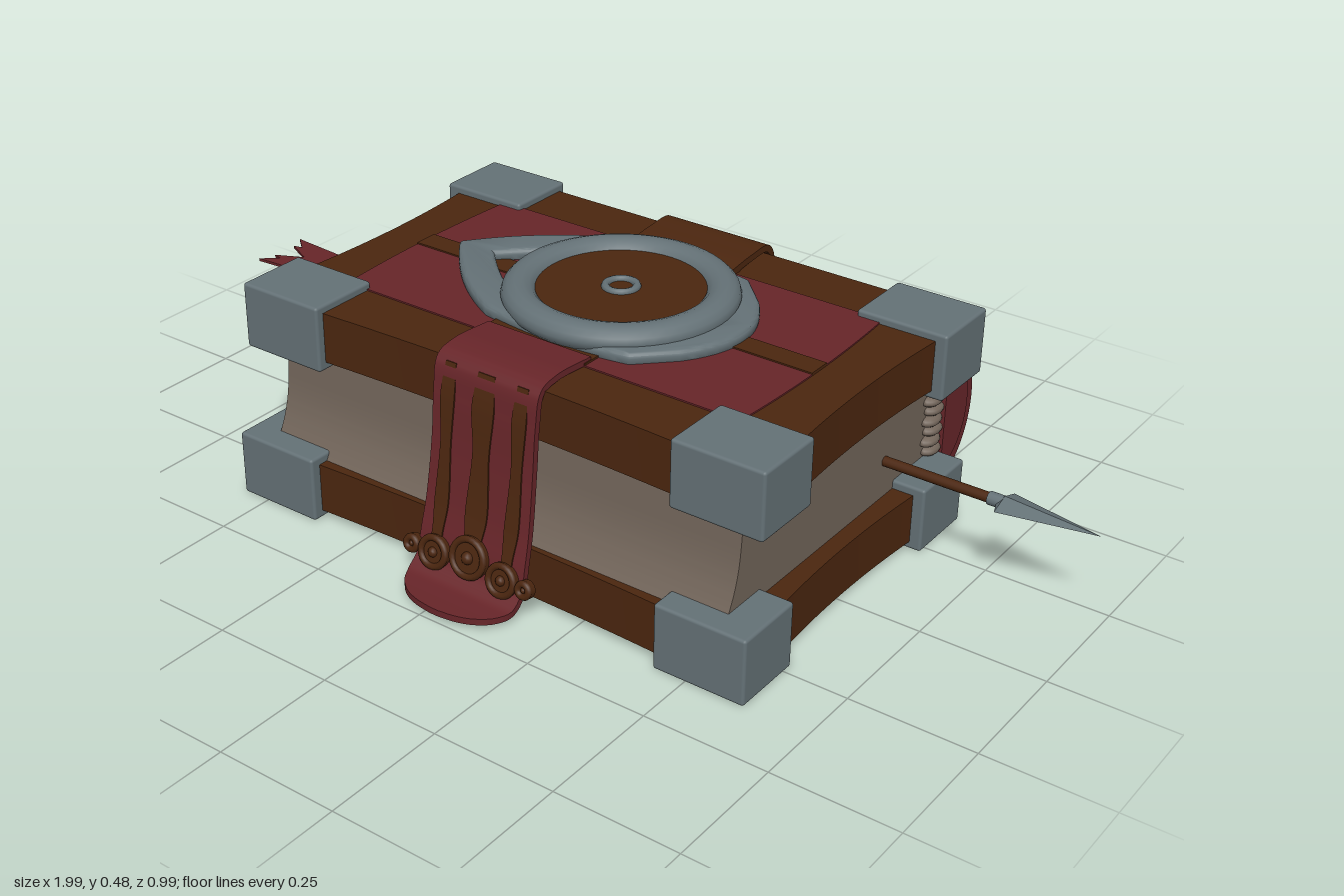
import * as THREE from 'three';
import { toCreasedNormals } from 'three/addons/utils/BufferGeometryUtils.js';
import { RoundedBoxGeometry } from 'three/addons/geometries/RoundedBoxGeometry.js';

const material = (name, color) => {
  const m = new THREE.MeshStandardMaterial({ color });
  m.name = name;
  return m;
};

// Flat outline in x/z, given thickness upward from y
function slab(shape, y, height, bevel = 0) {
  const g = new THREE.ExtrudeGeometry(shape, {
    depth: height - 2 * bevel, curveSegments: 24, bevelEnabled: bevel > 0,
    bevelThickness: bevel, bevelSize: bevel, bevelOffset: -bevel, bevelSegments: 4,
  });
  g.rotateX(-Math.PI / 2);
  g.translate(0, y + bevel, 0);
  return toCreasedNormals(g, 0.6);
}

// Side outline (drawn with x = -z) extruded from x0 to x1
function sideExtrude(shape, x0, x1) {
  const g = new THREE.ExtrudeGeometry(shape, { depth: x1 - x0, bevelEnabled: false, curveSegments: 28 });
  g.rotateY(Math.PI / 2);
  g.translate(x0, 0, 0);
  return toCreasedNormals(g, 0.6);
}

// Thick ribbon following a smooth path; each point is [z, y, halfWidth]
function ribbon(points, thick, lift = 0, steps = 48) {
  const path = new THREE.CatmullRomCurve3(points.map(([z, y, w]) => new THREE.Vector3(w, y, z)), false, 'centripetal').getPoints(steps);
  const pos = [], idx = [];
  path.forEach((p, i) => {
    const a = path[Math.max(i - 1, 0)], b = path[Math.min(i + 1, steps)];
    const len = Math.hypot(b.z - a.z, b.y - a.y) || 1;
    const nz = -(b.y - a.y) / len, ny = (b.z - a.z) / len;
    for (const [s, o] of [[-1, thick / 2], [1, thick / 2], [1, -thick / 2], [-1, -thick / 2]])
      pos.push(s * p.x, p.y + ny * (o + lift), p.z + nz * (o + lift));
    if (i < steps) for (let k = 0; k < 4; k++) {
      const q = i * 4 + k, r = i * 4 + (k + 1) % 4;
      idx.push(q, q + 4, r + 4, q, r + 4, r);
    }
  });
  const e = steps * 4;
  idx.push(0, 1, 2, 0, 2, 3, e, e + 2, e + 1, e, e + 3, e + 2);
  const g = new THREE.BufferGeometry();
  g.setAttribute('position', new THREE.Float32BufferAttribute(pos, 3));
  g.setIndex(idx);
  return toCreasedNormals(g, 0.7);
}

// Cover board with edges curving inward between its corners
function coverShape(back, front, dip) {
  const s = new THREE.Shape();
  s.moveTo(-0.55, -front);
  s.quadraticCurveTo(0.035, -front + 2 * dip, 0.615, -front);
  s.quadraticCurveTo(0.56, -(front + back) / 2, 0.615, -back);
  s.lineTo(-0.55, -back);
  s.quadraticCurveTo(-0.49, -(front + back) / 2, -0.55, -front);
  return s;
}

export function createModel() {
  const leather = material('brown leather', 0x4b260f);
  const cloth = material('dark red cloth', 0x672529);
  const metal = material('grey metal', 0x647176);
  const paper = material('old paper', 0x72655a);
  const book = new THREE.Group();
  book.name = 'book';
  const add = (name, geo, mat, x = 0, y = 0, z = 0, parent = book) => {
    const m = new THREE.Mesh(geo, mat);
    m.name = name;
    m.position.set(x, y, z);
    parent.add(m);
    return m;
  };
  const box = (name, mat, x0, x1, y0, y1, z0, z1) =>
    add(name, new THREE.BoxGeometry(x1 - x0, y1 - y0, z1 - z0), mat, (x0 + x1) / 2, (y0 + y1) / 2, (z0 + z1) / 2);

  // Covers
  add('topCover', slab(coverShape(-0.4, 0.335, 0.022), 0.33, 0.103), leather);
  add('bottomCover', slab(coverShape(-0.37, 0.37, 0.022), 0.02, 0.102), leather);

  // Metal corner guards
  const guard = new RoundedBoxGeometry(0.19, 0.135, 0.152, 2, 0.006);
  for (const x of [-0.465, 0.527]) {
    for (const z of [-0.341, 0.265]) add('topCorner', guard, metal, x, 0.381, z);
    for (const z of [-0.305, 0.304]) add('bottomCorner', guard, metal, x, 0.072, z);
  }

  // Page block with a hollowed fore edge
  const pages = new THREE.Shape();
  pages.moveTo(0.38, 0.11);
  pages.lineTo(0.38, 0.34);
  pages.lineTo(-0.29, 0.34);
  pages.bezierCurveTo(-0.3, 0.24, -0.29, 0.2, -0.345, 0.11);
  add('pages', sideExtrude(pages, -0.5, 0.553), paper);

  // Rounded spine with a raised end face
  for (const [name, r, x0, x1] of [['spine', 0.145, -0.51, 0.57], ['spineCore', 0.113, -0.514, 0.574]]) {
    const s = new THREE.Shape();
    s.moveTo(0.38, 0.215 - r);
    s.absellipse(0.38, 0.215, r * 0.79, r, -Math.PI / 2, Math.PI / 2, false);
    add(name, sideExtrude(s, x0, x1), cloth);
  }

  // Binding cord at both ends of the spine
  const knot = new THREE.SphereGeometry(1, 14, 8);
  for (const x of [-0.5, 0.555]) for (let i = 0; i < 8; i++)
    add('bindingCord', knot, paper, x, 0.15 + i * 0.022, -0.36 + (i % 2 ? 0.003 : -0.003)).scale.set(0.02, 0.0125, 0.03);

  // Red panel and brown bands on the top cover
  const panel = new THREE.Shape();
  panel.moveTo(-0.42, -0.2);
  panel.lineTo(0.48, -0.2);
  panel.quadraticCurveTo(0.5, 0.04, 0.48, 0.28);
  panel.lineTo(-0.42, 0.28);
  panel.quadraticCurveTo(-0.44, 0.04, -0.42, -0.2);
  add('coverPanel', slab(panel, 0.431, 0.005), cloth);
  box('crossBand', leather, -0.43, 0.49, 0.431, 0.439, -0.065, -0.015);
  box('lengthBand', leather, -0.09, 0.15, 0.431, 0.44, -0.3, 0.2);
  add('backBand', ribbon([[-0.417, 0.36, 0.12], [-0.417, 0.42, 0.12], [-0.4, 0.445, 0.12], [-0.34, 0.446, 0.12], [-0.27, 0.438, 0.12]], 0.014), leather, 0.03);

  // Front strap with a rounded tongue, and its stripes
  const strap = [[0.18, 0.439, 0.118], [0.28, 0.444, 0.118], [0.32, 0.432, 0.118], [0.334, 0.37, 0.117],
    [0.343, 0.28, 0.117], [0.361, 0.16, 0.12], [0.376, 0.1, 0.122], [0.39, 0.05, 0.123], [0.42, 0.024, 0.122],
    [0.45, 0.02, 0.108], [0.475, 0.02, 0.08], [0.488, 0.02, 0.048], [0.494, 0.02, 0.01]];
  add('strap', ribbon(strap, 0.013, 0, 80), cloth, 0.03);
  for (const [x, w] of [[-0.052, 0.016], [0.03, 0.025], [0.112, 0.016]]) {
    const line = strap.slice(2, 8).map(([z, y], i) => [z, y, w * (i % 2 ? 1 : 0.75)]);
    add('strapStripe', ribbon(line, 0.004, 0.0075), leather, x);
  }

  // Clasp of discs and curled ends
  const clasp = new THREE.Group();
  clasp.name = 'clasp';
  clasp.position.set(0.03, 0.075, 0.392);
  clasp.rotation.x = -0.25;
  book.add(clasp);
  for (const [x, y, r] of [[0, 0.008, 0.042], [-0.08, -0.008, 0.034], [0.08, -0.008, 0.034], [-0.132, -0.008, 0.018], [0.132, -0.008, 0.018]]) {
    const disc = new THREE.CylinderGeometry(r, r, 0.014, 24);
    disc.rotateX(Math.PI / 2);
    add('claspDisc', disc, leather, x, y, 0, clasp);
    add('claspRim', new THREE.TorusGeometry(r - 0.006, 0.007, 8, 24), leather, x, y, 0.006, clasp);
    add('claspStud', new THREE.SphereGeometry(r * 0.3, 12, 8), leather, x, y, 0.006, clasp);
  }

  // Metal emblem: pointed frame, round ring, disc and centre ring
  const outline = (s, k, tip) => {
    s.moveTo(tip, 0);
    s.quadraticCurveTo(-0.3 * k, -0.13 * k, -0.17 * k, -0.195 * k);
    s.quadraticCurveTo(0, -0.23 * k, 0.16 * k, -0.195 * k);
    s.lineTo(0.225 * k, -0.13 * k);
    s.quadraticCurveTo(0.325 * k, 0, 0.225 * k, 0.13 * k);
    s.lineTo(0.16 * k, 0.195 * k);
    s.quadraticCurveTo(0, 0.23 * k, -0.17 * k, 0.195 * k);
    s.quadraticCurveTo(-0.3 * k, 0.13 * k, tip, 0);
    return s;
  };
  const frame = outline(new THREE.Shape(), 1, -0.395);
  frame.holes.push(outline(new THREE.Path(), 0.72, -0.305));
  const frameGeo = slab(frame, 0.428, 0.03, 0.011);
  add('emblemFrame', frameGeo, metal, 0.05, 0, -0.045);
  const ring = new THREE.TorusGeometry(0.193, 0.034, 14, 56);
  ring.rotateX(Math.PI / 2);
  ring.scale(1, 0.8, 1);
  add('emblemRing', ring, metal, 0.05, 0.46, -0.045);
  add('emblemDisc', new THREE.CylinderGeometry(0.18, 0.18, 0.036, 48), leather, 0.05, 0.452, -0.045);
  const eye = new THREE.TorusGeometry(0.03, 0.008, 8, 28);
  eye.rotateX(Math.PI / 2);
  add('emblemCentre', eye, metal, 0.05, 0.471, -0.045);

  // Arrow pushed through the pages
  const arrow = new THREE.Group();
  arrow.name = 'arrow';
  arrow.position.set(0, 0.2, -0.19);
  book.add(arrow);
  const shaft = new THREE.CylinderGeometry(0.01, 0.01, 1.58, 12);
  shaft.rotateZ(Math.PI / 2);
  add('arrowShaft', shaft, leather, 0.03, 0, 0, arrow);
  const collar = new THREE.CylinderGeometry(0.013, 0.013, 0.03, 12);
  collar.rotateZ(Math.PI / 2);
  add('arrowCollar', collar, metal, 0.785, 0, 0, arrow);
  for (const [h, x, turn] of [[0.19, 0.895, -1], [0.015, 0.7925, 1]]) {
    const tip = new THREE.ConeGeometry(0.04, h, 4);
    tip.rotateZ(turn * Math.PI / 2);
    tip.scale(1, 0.35, 1);
    add('arrowHead', toCreasedNormals(tip, 0.2), metal, x, 0, 0, arrow);
  }
  const feather = new THREE.Shape([[-0.745, 0], [-0.8, -0.05], [-1, -0.065], [-0.965, -0.035], [-0.985, -0.03],
    [-0.925, 0], [-0.985, 0.03], [-0.965, 0.035], [-1, 0.065], [-0.8, 0.05]].map(([x, z]) => new THREE.Vector2(x, z)));
  add('arrowFletching', slab(feather, -0.003, 0.006), cloth, 0, 0, 0, arrow);

  // Bookmarks hanging out of the left-hand page edge
  const brownMark = [[0.48, 0.2, 0.07], [0.545, 0.19, 0.072], [0.575, 0.13, 0.07], [0.59, 0.06, 0.072], [0.615, 0.017, 0.08], [0.655, 0.011, 0.09]];
  const paperMark = [[0.48, 0.21, 0.045], [0.53, 0.205, 0.045], [0.56, 0.16, 0.045], [0.58, 0.13, 0.042], [0.6, 0.12, 0.028]];
  add('leatherBookmark', ribbon(brownMark, 0.008), leather, 0, 0, -0.015).rotation.y = -Math.PI / 2;
  add('paperBookmark', ribbon(paperMark, 0.006), paper, 0, 0, 0.115).rotation.y = -Math.PI / 2;
  add('bookmarkTrim', ribbon([[0.562, 0.165, 0.07], [0.575, 0.13, 0.07], [0.583, 0.1, 0.07]], 0.004, 0.006, 8), paper, 0, 0, -0.015).rotation.y = -Math.PI / 2;

  return book;
}
